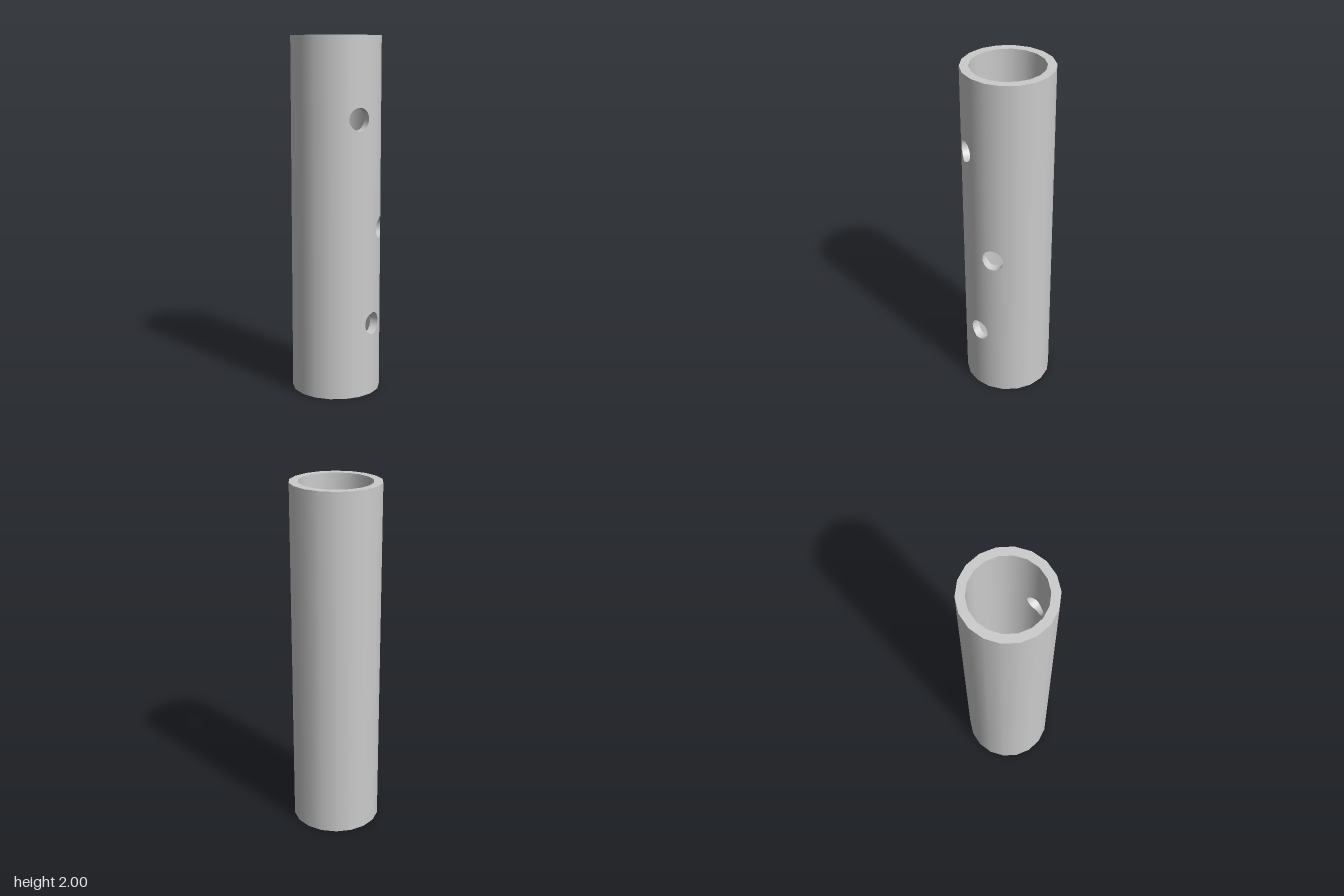
import * as THREE from 'three';

const SIDES = 18, STEP = (Math.PI * 2) / SIDES;
const OUTER = 0.25, INNER = 0.202, HEIGHT = 2;
const HOLE_R = 0.0625, HOLE_STEPS = 16;
// Round holes drilled towards the tube's axis, from bottom to top
const holes = [[4.3, 0.41], [26.7, 0.94], [-20.5, 1.556]].map(([deg, y]) => ({ angle: THREE.MathUtils.degToRad(deg), y }));

// Point on the 18-sided outline at an angle measured from the front
function outline(theta, radius, y = 0) {
  const mid = (Math.floor(theta / STEP) + 0.5) * STEP;
  const r = (radius * Math.cos(STEP / 2)) / Math.cos(theta - mid);
  return new THREE.Vector3(r * Math.sin(theta), y, r * Math.cos(theta));
}

// Sideways distance from a hole's axis, and the angle that gives it
function sideways(hole, theta, radius) {
  const p = outline(theta, radius);
  return p.x * Math.cos(hole.angle) - p.z * Math.sin(hole.angle);
}
function angleAt(hole, u, radius) {
  let lo = hole.angle - 0.8, hi = hole.angle + 0.8;
  for (let i = 0; i < 40; i++) {
    const m = (lo + hi) / 2;
    if (sideways(hole, m, radius) < u) lo = m; else hi = m;
  }
  return (lo + hi) / 2;
}
const rise = (u) => Math.sqrt(Math.max(0, HOLE_R * HOLE_R - u * u));
const unique = (list) => list.sort((a, b) => a - b).filter((v, i) => i === 0 || v - list[i - 1] > 1e-6);

// Rim samples of each hole, including where it crosses the tube's edges
for (const hole of holes) {
  const us = [];
  for (let i = 0; i <= HOLE_STEPS; i++) us.push(-HOLE_R * Math.cos((Math.PI * i) / HOLE_STEPS));
  for (let k = -3; k <= 3; k++) {
    for (const radius of [OUTER, INNER]) {
      const u = sideways(hole, k * STEP, radius);
      if (Math.abs(u) < HOLE_R) us.push(u);
    }
  }
  hole.us = unique(us);
}

// Collects quads and turns each one to face along its normals
function quadBuilder() {
  const pos = [], nor = [];
  return {
    quad(points, normals) {
      const [a, b, c, d] = points;
      const face = c.clone().sub(a).cross(d.clone().sub(b));
      const sum = normals.reduce((s, n) => s.add(n), new THREE.Vector3());
      const order = face.dot(sum) >= 0 ? [0, 1, 2, 0, 2, 3] : [0, 2, 1, 0, 3, 2];
      for (const i of order) {
        pos.push(...points[i].toArray());
        nor.push(...normals[i].toArray());
      }
    },
    mesh(name) {
      const geometry = new THREE.BufferGeometry();
      geometry.setAttribute('position', new THREE.Float32BufferAttribute(pos, 3));
      geometry.setAttribute('normal', new THREE.Float32BufferAttribute(nor, 3));
      const mesh = new THREE.Mesh(geometry, new THREE.MeshStandardMaterial({ color: 0xcccccc }));
      mesh.name = name;
      return mesh;
    },
  };
}

// One smooth tube surface, made of upright columns interrupted by the holes
function tubeSurface(name, radius, sign) {
  const angles = [];
  for (let k = -SIDES / 2; k <= SIDES / 2; k++) angles.push(k * STEP);
  for (const hole of holes) for (const u of hole.us) angles.push(angleAt(hole, u, radius));
  const list = unique(angles);
  const builder = quadBuilder();
  for (let i = 0; i + 1 < list.length; i++) {
    const a = list[i], b = list[i + 1];
    const na = new THREE.Vector3(Math.sin(a), 0, Math.cos(a)).multiplyScalar(sign);
    const nb = new THREE.Vector3(Math.sin(b), 0, Math.cos(b)).multiplyScalar(sign);
    let from = [0, 0];
    const strip = (to) => builder.quad(
      [outline(a, radius, from[0]), outline(b, radius, from[1]), outline(b, radius, to[1]), outline(a, radius, to[0])],
      [na, nb, nb, na]);
    for (const hole of holes) {
      const mid = (a + b) / 2;
      if (Math.abs(mid - hole.angle) > 0.8 || Math.abs(sideways(hole, mid, radius)) >= HOLE_R) continue;
      const h = [a, b].map((t) => rise(sideways(hole, t, radius)));
      strip(h.map((v) => hole.y - v));
      from = h.map((v) => hole.y + v);
    }
    strip([HEIGHT, HEIGHT]);
  }
  return builder.mesh(name);
}

// Flat ring closing the wall at one end
function endRing(name, y, up) {
  const builder = quadBuilder();
  const n = new THREE.Vector3(0, up, 0);
  for (let k = 0; k < SIDES; k++) {
    const a = k * STEP, b = a + STEP;
    builder.quad([outline(a, OUTER, y), outline(b, OUTER, y), outline(b, INNER, y), outline(a, INNER, y)], [n, n, n, n]);
  }
  return builder.mesh(name);
}

// Round wall of a hole, running through the thickness of the tube
function holeWall(hole) {
  const builder = quadBuilder();
  const { us, angle, y } = hole;
  for (const side of [1, -1]) {
    const normal = (u) => new THREE.Vector3(-u * Math.cos(angle), -side * rise(u), u * Math.sin(angle)).normalize();
    const point = (u, radius) => outline(angleAt(hole, u, radius), radius, y + side * rise(u));
    for (let i = 0; i + 1 < us.length; i++) {
      const u = us[i], v = us[i + 1];
      builder.quad([point(u, OUTER), point(v, OUTER), point(v, INNER), point(u, INNER)],
        [normal(u), normal(v), normal(v), normal(u)]);
    }
  }
  return builder.mesh('holeWall');
}

export function createModel() {
  const model = new THREE.Group();
  model.name = 'drilledTube';
  model.add(
    tubeSurface('outerWall', OUTER, 1),
    tubeSurface('innerWall', INNER, -1),
    endRing('topRim', HEIGHT, 1),
    endRing('bottomRim', 0, -1),
    ...holes.map(holeWall),
  );
  return model;
}
